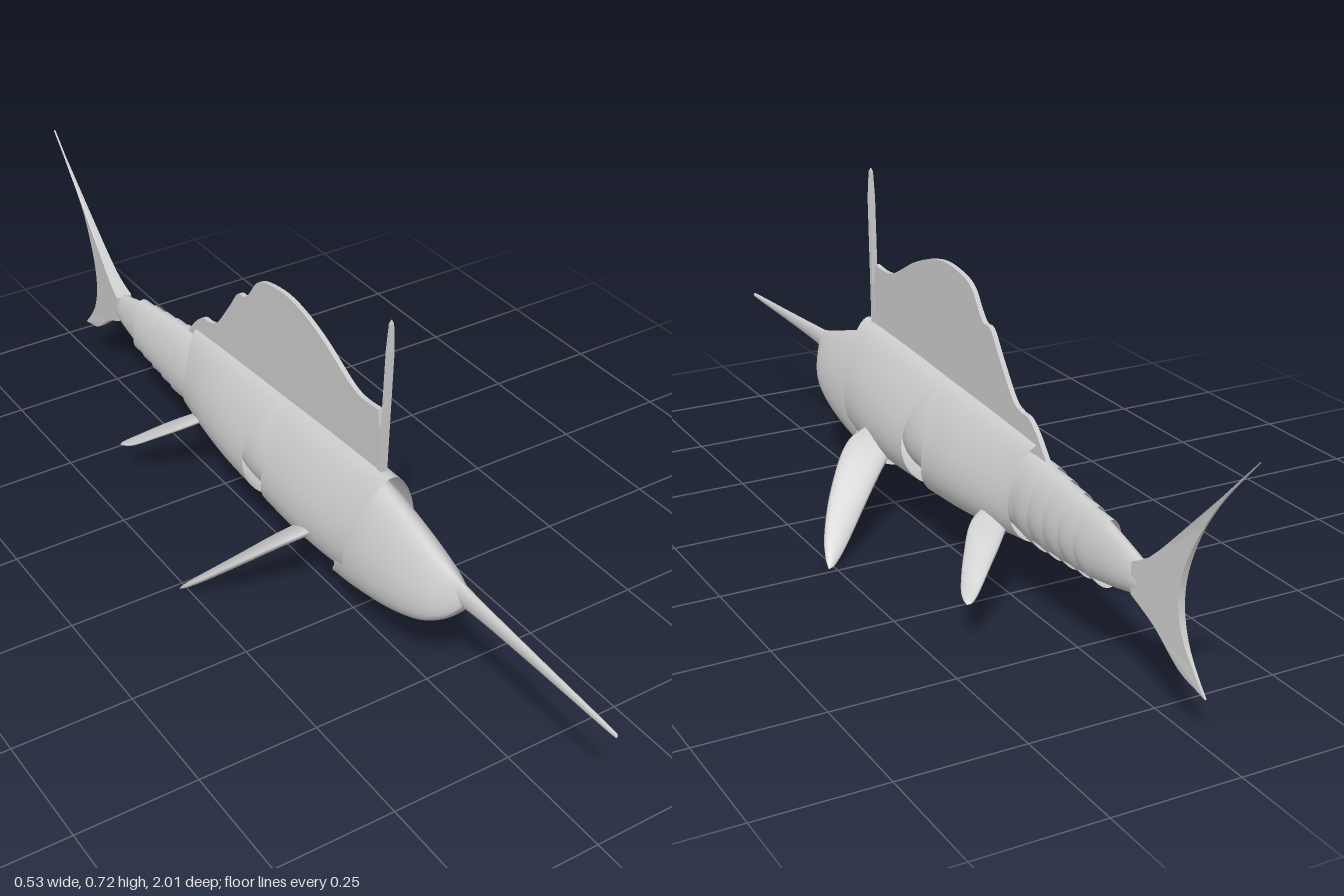
import * as THREE from 'three';

const mat = new THREE.MeshStandardMaterial({ color: 0xcccccc, side: THREE.DoubleSide });
const V = (x, y, z) => new THREE.Vector3(x, y, z);

// Skin over rows of rings; point(i, j) gives a position, rings close on themselves
function skin(name, rows, cols, point) {
  const pos = [], idx = [];
  for (let i = 0; i <= rows; i++)
    for (let j = 0; j < cols; j++) pos.push(...point(i / rows, (j / cols) * Math.PI * 2).toArray());
  for (let i = 0; i < rows; i++)
    for (let j = 0; j < cols; j++) {
      const a = i * cols + j, b = i * cols + ((j + 1) % cols), c = a + cols, d = b + cols;
      idx.push(a, b, c, b, d, c);
    }
  const g = new THREE.BufferGeometry();
  g.setAttribute('position', new THREE.Float32BufferAttribute(pos, 3));
  g.setIndex(idx);
  g.computeVertexNormals();
  const m = new THREE.Mesh(g, mat);
  m.name = name;
  return m;
}

// Egg-shaped loft along z. Stations: [z, bottom, top, half width].
// front(s) and back(s) shift the end rims in z, s = 0 at the top and 1 at the bottom.
function loft(name, stations, { egg = 0.35, rows = 24, front = () => 0, back = () => 0 } = {}) {
  const curve = f => new THREE.CatmullRomCurve3(stations.map(f), false, 'catmullrom', 0.5);
  const low = curve(([z, b, , w]) => V(w, b, z)), high = curve(([z, , t]) => V(0, t, z));
  const norm = 1 + egg * egg * 0.5;
  return skin(name, rows, 48, (t, a) => {
    const l = low.getPoint(t), h = high.getPoint(t), s = (1 - Math.cos(a)) / 2;
    return V(
      l.x * Math.sin(a) * (1 - egg * Math.cos(a)) / norm,
      THREE.MathUtils.lerp(h.y, l.y, s),
      l.z + front(s) * (1 - t) + back(s) * t
    );
  });
}

// Blade between a leading and a trailing edge, with lens-like sections
function blade(name, lead, trail, thick, side) {
  const curve = p => new THREE.CatmullRomCurve3(p.map(([x, y, z]) => V(x * side, y, z)));
  const A = curve(lead), B = curve(trail);
  const span = A.getPoint(1).sub(A.getPoint(0));
  return skin(name, 24, 16, (t, a) => {
    const p = A.getPoint(t), q = B.getPoint(t);
    const c = p.clone().add(q).multiplyScalar(0.5);
    const u = p.sub(q).multiplyScalar(0.5);
    const n = span.clone().cross(u).normalize();
    const end = Math.sqrt(Math.max(0, 1 - t ** 10));
    return c.addScaledVector(u, Math.cos(a) * end)
      .addScaledVector(n, Math.sin(a) * thick * (1 - 0.6 * t) * end);
  });
}

// Flat plate from a [z, y] outline; half(z, y) gives its half thickness
function plate(name, shape, half) {
  const g = new THREE.ExtrudeGeometry(shape, { depth: 2, bevelEnabled: false, curveSegments: 10 });
  g.translate(0, 0, -1).rotateY(-Math.PI / 2);
  const p = g.attributes.position;
  for (let i = 0; i < p.count; i++) p.setX(i, p.getX(i) * half(p.getZ(i), p.getY(i)));
  g.computeVertexNormals();
  const m = new THREE.Mesh(g, mat);
  m.name = name;
  return m;
}

const spline = (s, pts) => s.splineThru(pts.map(([z, y]) => new THREE.Vector2(z, y)));

export function createModel() {
  const model = new THREE.Group();
  model.name = 'sailfish';
  const arch = s => Math.sin(Math.PI * Math.min(1, s));

  // Bill and head
  model.add(loft('bill', [
    [1, 0.266, 0.27, 0.001], [0.995, 0.263, 0.273, 0.004], [0.8, 0.26, 0.284, 0.007],
    [0.65, 0.256, 0.293, 0.01], [0.57, 0.25, 0.298, 0.015]], { egg: 0 }));
  model.add(loft('head', [
    [0.602, 0.26, 0.28, 0.001], [0.598, 0.24, 0.296, 0.012], [0.57, 0.2, 0.303, 0.03],
    [0.52, 0.163, 0.318, 0.051], [0.44, 0.134, 0.342, 0.066], [0.34, 0.112, 0.367, 0.074],
    [0.27, 0.101, 0.375, 0.074]], { rows: 36, back: s => -0.035 * Math.max(0, s - 0.75) * 4 + 0.02 * arch(s) }));

  // Two hollow body shells, their facing rims arched apart around an inner joint
  model.add(loft('frontBodyShell', [
    [0.365, 0.138, 0.395, 0.08], [0.25, 0.132, 0.39, 0.086], [0.12, 0.132, 0.383, 0.089],
    [0, 0.136, 0.375, 0.087]],
    { front: s => -0.06 * s, back: s => 0.032 * arch(s) + 0.02 * s }));
  model.add(loft('rearBodyShell', [
    [0, 0.13, 0.375, 0.083], [-0.12, 0.136, 0.368, 0.079], [-0.24, 0.146, 0.36, 0.068],
    [-0.35, 0.157, 0.352, 0.053]],
    { front: s => -0.03 * arch(s) - 0.015 * s, back: s => 0.022 * arch(s) }));
  model.add(loft('bodyJoint', [
    [0.1, 0.25, 0.27, 0.01], [0.08, 0.18, 0.35, 0.065], [0, 0.165, 0.37, 0.079],
    [-0.08, 0.18, 0.35, 0.065], [-0.1, 0.25, 0.27, 0.01]]));

  // Tail: a smooth core wrapped in overlapping slanted rings
  model.add(loft('tailCore', [
    [-0.27, 0.175, 0.325, 0.045], [-0.36, 0.164, 0.33, 0.044], [-0.5, 0.168, 0.31, 0.035],
    [-0.6, 0.178, 0.29, 0.028], [-0.7, 0.2, 0.262, 0.018], [-0.73, 0.215, 0.25, 0.004]], { egg: 0.2 }));
  for (let i = 0; i < 5; i++) {
    const z = -0.355 - i * 0.047, k = i / 4;
    const b = 0.16 + 0.01 * k, t = 0.334 - 0.03 * k, w = 0.05 - 0.014 * k;
    model.add(loft('tailRing' + (i + 1), [
      [z + 0.012, b + 0.006, t - 0.002, w - 0.004], [z - 0.02, b + 0.002, t - 0.003, w],
      [z - 0.056, b, t - 0.005, w]],
      { egg: 0.2, rows: 6, front: s => 0.012 * arch(s), back: s => 0.016 * arch(s) }));
  }

  // Tail fin, thinning towards its tips
  const tail = new THREE.Shape().moveTo(-0.69, 0.262);
  spline(tail, [[-0.74, 0.292], [-0.83, 0.38], [-1, 0.552]]);
  spline(tail, [[-0.905, 0.445], [-0.84, 0.34], [-0.814, 0.25], [-0.832, 0.17], [-0.893, 0.094]]);
  spline(tail, [[-0.825, 0.115], [-0.755, 0.168], [-0.69, 0.202]]);
  model.add(plate('tailFin', tail, z => THREE.MathUtils.clamp(0.018 + (z + 0.69) * 0.09, 0.002, 0.018)));

  // Dorsal sail and the spike in front of it
  const sail = new THREE.Shape().moveTo(0.33, 0.37).lineTo(0.332, 0.46).lineTo(0.32, 0.522);
  spline(sail, [[0.245, 0.522], [0.14, 0.573], [0.06, 0.6], [-0.01, 0.607], [-0.09, 0.59],
    [-0.13, 0.545], [-0.148, 0.528], [-0.175, 0.522], [-0.21, 0.475], [-0.26, 0.412],
    [-0.29, 0.397], [-0.32, 0.393], [-0.35, 0.37], [-0.385, 0.33]]);
  sail.lineTo(-0.3, 0.33);
  model.add(plate('dorsalSail', sail, () => 0.005));
  const spike = new THREE.Shape().moveTo(0.338, 0.36).lineTo(0.343, 0.5).lineTo(0.349, 0.66)
    .lineTo(0.348, 0.715).lineTo(0.345, 0.723).lineTo(0.343, 0.715).lineTo(0.34, 0.66)
    .lineTo(0.333, 0.5).lineTo(0.324, 0.43).lineTo(0.326, 0.36);
  model.add(plate('dorsalSpike', spike, (z, y) => (y > 0.72 ? 0.001 : y > 0.7 ? 0.004 : 0.0065)));

  // Paired fins
  for (const [side, label] of [[1, 'left'], [-1, 'right']]) {
    model.add(blade(label + 'PectoralFin',
      [[0.06, 0.215, 0.222], [0.13, 0.192, 0.2], [0.2, 0.125, 0.135], [0.25, 0.055, 0.065], [0.271, 0.014, 0.022]],
      [[0.06, 0.17, 0.145], [0.11, 0.13, 0.11], [0.16, 0.085, 0.075], [0.21, 0.04, 0.038], [0.257, 0, 0.003]],
      0.014, side));
    model.add(blade(label + 'PelvicFin',
      [[0.035, 0.205, -0.235], [0.09, 0.183, -0.258], [0.135, 0.142, -0.31], [0.168, 0.105, -0.36], [0.183, 0.092, -0.39]],
      [[0.035, 0.175, -0.298], [0.07, 0.153, -0.33], [0.105, 0.13, -0.358], [0.14, 0.105, -0.386], [0.167, 0.086, -0.408]],
      0.01, side));
  }
  return model;
}
